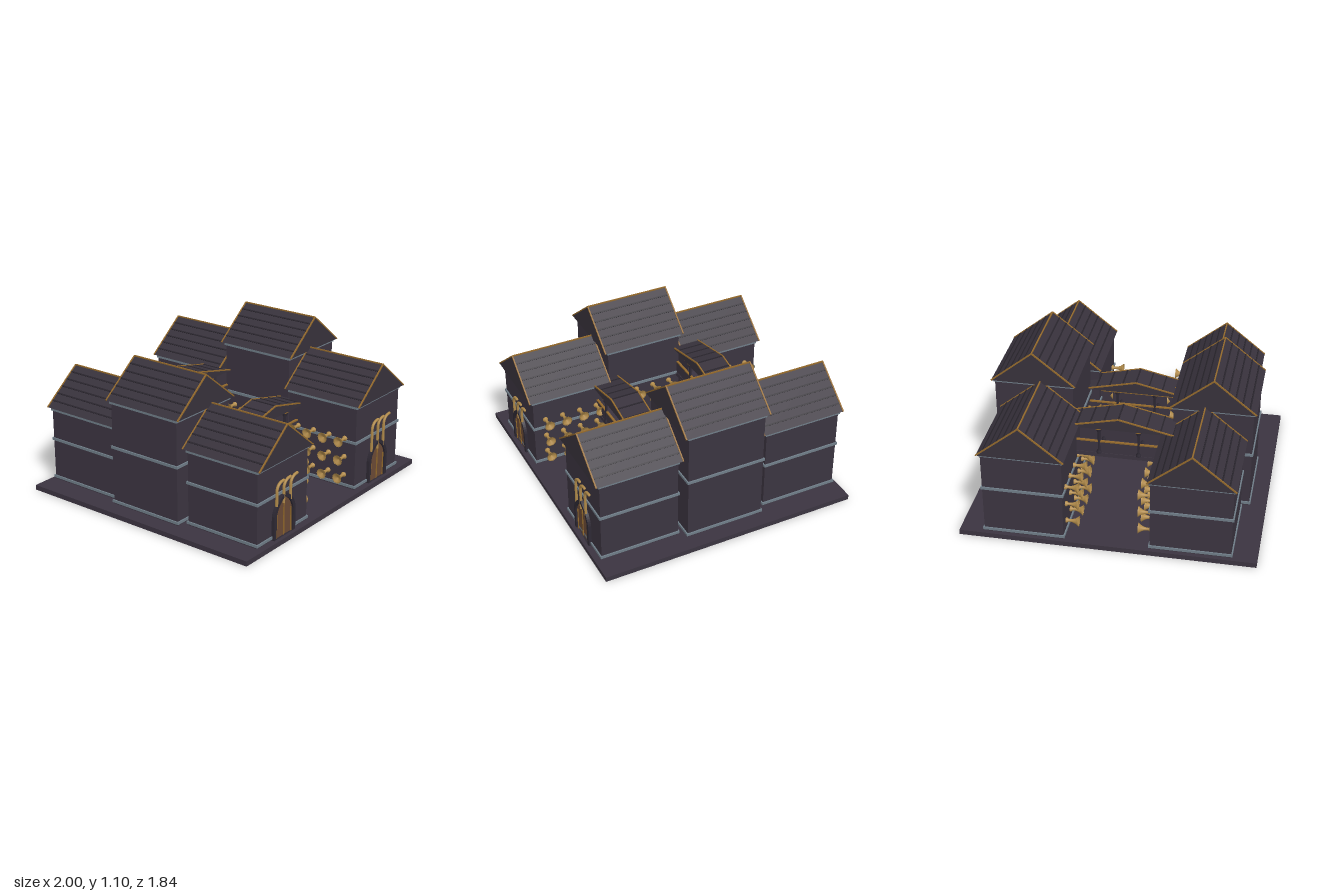
import * as THREE from 'three';

const mat = (name, color) => {
  const m = new THREE.MeshStandardMaterial({ color });
  m.name = name;
  return m;
};

export function createModel() {
  const wallMat = mat('dark plum wall', 0x3b3440);
  const roofMat = mat('dark plum roof', 0x38323c);
  const battenMat = mat('roof batten', 0x28242c);
  const frameMat = mat('door frame', 0x2e2934);
  const bandMat = mat('blue grey band', 0x6f7d88);
  const goldMat = mat('gold trim', 0x93692c);
  const brassMat = mat('brass', 0xb08a4a);
  const doorMat = mat('brown door', 0x6b4a35);

  const model = new THREE.Group();
  model.name = 'courtyard';
  const BASE = 0.035;

  const add = (parent, name, geo, material, x = 0, y = 0, z = 0) => {
    const m = new THREE.Mesh(geo, material);
    m.name = name;
    m.position.set(x, y, z);
    parent.add(m);
    return m;
  };
  const box = (parent, name, material, w, h, d, x, y, z) =>
    add(parent, name, new THREE.BoxGeometry(w, h, d), material, x, y, z);

  // Solid gable roof with battens along both slopes and gold rake edges; origin at eave level
  function makeRoof(halfW, height, depth, battens, goldRidge) {
    const g = new THREE.Group();
    g.name = 'roof';
    const tri = new THREE.Shape([[-halfW, 0], [halfW, 0], [0, height]].map(p => new THREE.Vector2(...p)));
    add(g, 'gableRoof', new THREE.ExtrudeGeometry(tri, { depth, bevelEnabled: false }), roofMat, 0, 0, -depth / 2);
    const angle = Math.atan2(height, halfW), len = Math.hypot(halfW, height);
    for (const s of [-1, 1]) {
      for (let i = 1; i <= battens; i++) {
        const t = i / (battens + 1);
        const b = box(g, 'batten', battenMat, 0.01, 0.008, depth - 0.012, s * halfW * t, height * (1 - t), 0);
        b.rotation.z = -s * angle;
      }
      for (const e of [-1, 1]) {
        const r = box(g, 'rakeTrim', goldMat, len, 0.009, 0.009, s * halfW / 2, height / 2, e * (depth / 2 - 0.003));
        r.rotation.z = -s * angle;
      }
    }
    if (goldRidge) box(g, 'ridgeTrim', goldMat, 0.009, 0.009, depth, 0, height, 0);
    else box(g, 'ridgeBatten', battenMat, 0.01, 0.006, depth - 0.012, 0, height, 0);
    return g;
  }

  // Pointed arch outline, standing on y = 0
  const archShape = (hw, spring, top) => {
    const s = new THREE.Shape();
    s.moveTo(-hw, 0);
    s.lineTo(hw, 0);
    s.lineTo(hw, spring);
    s.quadraticCurveTo(hw * 0.85, spring + (top - spring) * 0.65, 0, top);
    s.quadraticCurveTo(-hw * 0.85, spring + (top - spring) * 0.65, -hw, spring);
    return s;
  };

  // Arched door with gold straps, and three curved pipes above it
  function makeDoor(pipeTop) {
    const g = new THREE.Group();
    g.name = 'door';
    const frame = archShape(0.115, 0.165, 0.3);
    frame.holes.push(archShape(0.09, 0.16, 0.272));
    add(g, 'doorFrame', new THREE.ExtrudeGeometry(frame, { depth: 0.022, bevelEnabled: false, curveSegments: 10 }), frameMat);
    add(g, 'doorLeaf', new THREE.ExtrudeGeometry(archShape(0.09, 0.16, 0.272), { depth: 0.009, bevelEnabled: false, curveSegments: 10 }), doorMat);
    for (const [x, h] of [[-0.078, 0.17], [0, 0.255], [0.078, 0.17]])
      box(g, 'doorStrap', goldMat, 0.009, h, 0.006, x, h / 2, 0.011);
    const R = 0.06;
    for (const x of [-0.083, -0.008, 0.067]) {
      const path = new THREE.CurvePath();
      const v = (px, py) => new THREE.Vector3(px, py, 0.014);
      path.add(new THREE.LineCurve3(v(x, 0.23), v(x, pipeTop - R)));
      path.add(new THREE.CubicBezierCurve3(v(x, pipeTop - R), v(x, pipeTop - R * 0.4), v(x + R * 0.4, pipeTop), v(x + 0.07, pipeTop)));
      add(g, 'pipe', new THREE.TubeGeometry(path, 24, 0.01, 8), brassMat);
      add(g, 'pipeEnd', new THREE.SphereGeometry(0.01, 8, 6), brassMat, x + 0.07, pipeTop, 0.014);
    }
    return g;
  }

  // Flared horn pointing along +x
  const hornProfile = [[0.018, 0], [0.018, 0.01], [0.009, 0.02], [0.011, 0.045], [0.018, 0.065], [0.028, 0.08], [0.037, 0.09], [0.03, 0.088], [0, 0.07]];
  const hornGeo = new THREE.LatheGeometry(hornProfile.map(p => new THREE.Vector2(...p)), 14).rotateZ(-Math.PI / 2);

  // House: walls, bands, roof, front door and horns on the courtyard side
  function makeHouse(side, x, z, eave) {
    const g = new THREE.Group();
    g.name = 'house';
    g.position.set(side * x, 0, z);
    const W = 0.54, D = 0.555;
    box(g, 'walls', wallMat, W, eave - BASE, D, 0, (eave + BASE) / 2, 0);
    for (const y of [0.055, 0.035 + eave * 0.532, eave - 0.012])
      box(g, 'band', bandMat, W + 0.018, 0.018, D + 0.018, 0, y, 0);
    const roof = makeRoof(0.29, 0.232, 0.615, 5, true);
    roof.position.y = eave;
    g.add(roof);
    const door = makeDoor(eave * 0.74 - BASE);
    door.position.set(0, BASE, D / 2);
    g.add(door);
    for (let c = 0; c < 4; c++) for (const y of [0.13, 0.265, 0.4]) {
      const h = add(g, 'horn', hornGeo, brassMat, -side * W / 2, y, -0.195 + c * 0.129);
      if (side > 0) h.rotation.y = Math.PI;
    }
    model.add(g);
  }

  box(model, 'base', wallMat, 2, BASE, 1.84, 0, BASE / 2, 0);
  for (const [side, low, high] of [[-1, 0.57, 0.777], [1, 0.652, 0.86]]) {
    makeHouse(side, 0.56, 0.595, low);
    makeHouse(side, 0.613, -0.007, high);
    makeHouse(side, 0.56, -0.612, low);
  }

  // Covered bridges between the two rows
  const postProfile = [[0.018, 0], [0.018, 0.015], [0.009, 0.03], [0.009, 0.16], [0.018, 0.18], [0.018, 0.2]];
  const postGeo = new THREE.LatheGeometry(postProfile.map(p => new THREE.Vector2(...p)), 10);
  for (const [y, z] of [[0.32, 0.305], [0.42, -0.355]]) {
    const g = new THREE.Group();
    g.name = 'bridge';
    g.position.set(0, y, z);
    box(g, 'deck', wallMat, 0.68, 0.03, 0.18, 0, 0.015, 0);
    for (const e of [-1, 1]) {
      box(g, 'parapet', wallMat, 0.68, 0.115, 0.012, 0, 0.0575, e * 0.08);
      box(g, 'parapetTrim', goldMat, 0.68, 0.009, 0.016, 0, 0.118, e * 0.08);
      for (const x of [-0.135, 0.135]) {
        add(g, 'post', postGeo, frameMat, x, 0.028, e * 0.083);
        box(g, 'postCap', goldMat, 0.036, 0.006, 0.036, x, 0.222, e * 0.083);
      }
    }
    const roof = makeRoof(0.38, 0.085, 0.21, 3, false);
    roof.position.y = 0.228;
    g.add(roof);
    model.add(g);
  }
  return model;
}
